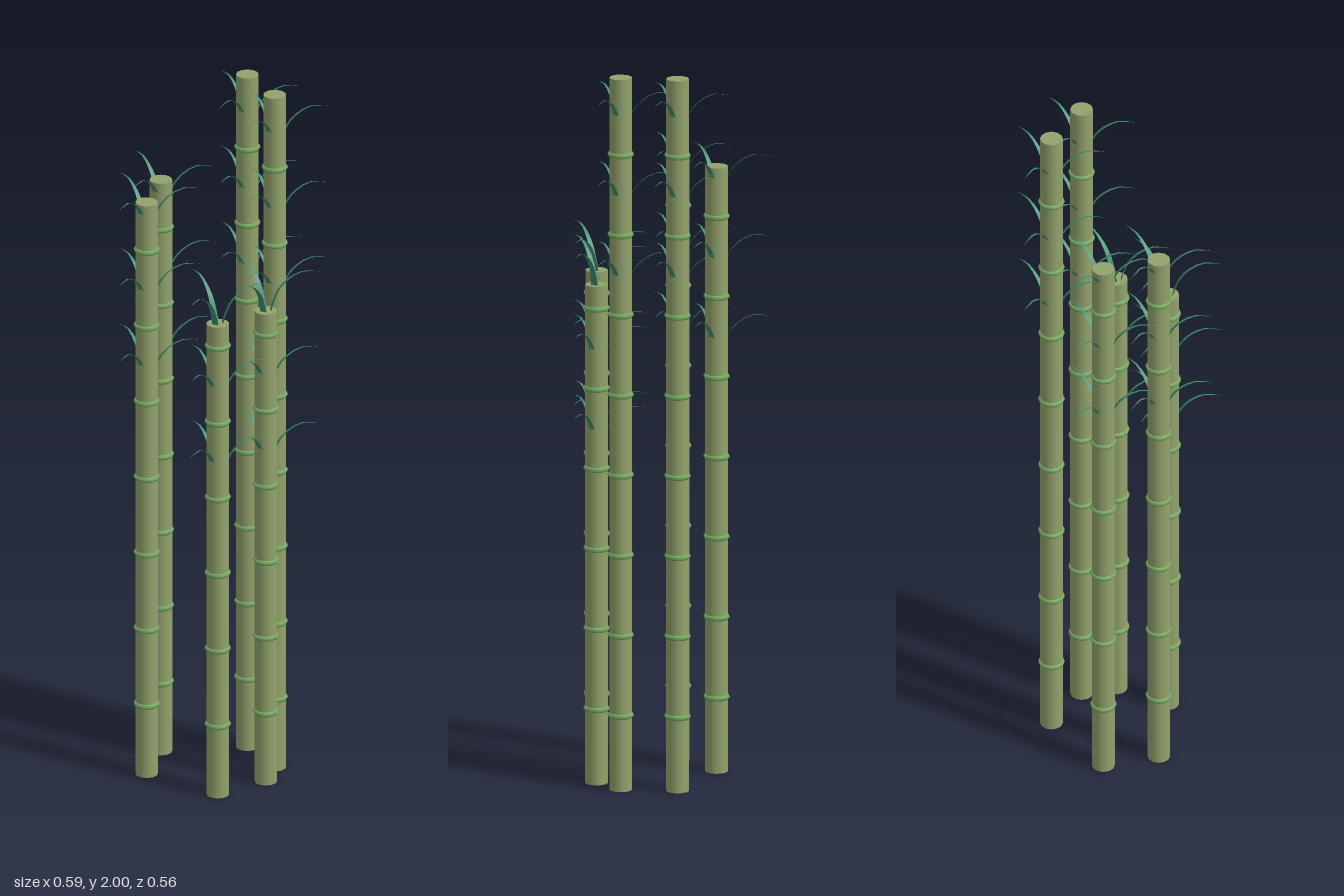
import * as THREE from 'three';

const stalkMat = new THREE.MeshStandardMaterial({ name: 'stalkGreen', color: 0x92a36c });
const ringMat = new THREE.MeshStandardMaterial({ name: 'ringGreen', color: 0x78ac62 });
const leafMat = new THREE.MeshStandardMaterial({ name: 'leafTeal', color: 0x3f8f72, side: THREE.DoubleSide });

const STEP = 0.225; // distance between nodes
const RADIUS = 0.031;

// Flat tapering blade that rises out of the stalk and arches outwards along +z
function leafGeometry() {
  const arc = new THREE.CatmullRomCurve3([
    [0.01, -0.06], [0.03, 0], [0.058, 0.036], [0.1, 0.059], [0.15, 0.055],
  ].map(([r, y]) => new THREE.Vector3(0, y, r)));
  const geo = new THREE.PlaneGeometry(1, 1, 2, 8);
  const pos = geo.attributes.position;
  for (let i = 0; i < pos.count; i++) {
    const t = pos.getY(i) + 0.5;
    const p = arc.getPoint(t);
    pos.setXYZ(i, pos.getX(i) * 0.021 * (1 - t), p.y, p.z);
  }
  geo.computeVertexNormals();
  return geo;
}

export function createModel() {
  const model = new THREE.Group();
  model.name = 'bambooClump';

  const leafGeo = leafGeometry();
  const ringGeo = new THREE.TorusGeometry(0.0285, 0.008, 6, 12).rotateX(Math.PI / 2);
  const leafAngles = [0, 129.5, 240].map(THREE.MathUtils.degToRad); // turn from +z towards +x

  function add(parent, name, geo, mat, y) {
    const mesh = new THREE.Mesh(geo, mat);
    mesh.name = name;
    mesh.position.y = y;
    parent.add(mesh);
    return mesh;
  }

  // x, z, height, height of the lowest leaf tier
  const stalks = [
    [0.021, -0.185, 2.0, 1.45],
    [0.154, -0.105, 2.0, 1.45],
    [0.181, -0.011, 1.4, 1.0],
    [0.112, 0.13, 1.4, 1.0],
    [-0.124, 0.109, 1.7, 1.225],
    [-0.167, -0.041, 1.7, 1.225],
  ];

  for (const [x, z, height, firstTier] of stalks) {
    const stalk = new THREE.Group();
    stalk.name = 'stalk';
    stalk.position.set(x, 0, z);

    add(stalk, 'cane', new THREE.CylinderGeometry(RADIUS, RADIUS, height, 12), stalkMat, height / 2);

    // Node rings
    for (let y = 0.21; y < height - 0.02; y += STEP) add(stalk, 'nodeRing', ringGeo, ringMat, y);

    // Three tiers of three leaves
    for (let tier = 0; tier < 3; tier++) {
      for (const angle of leafAngles) {
        add(stalk, 'leaf', leafGeo, leafMat, firstTier + tier * STEP).rotation.y = angle;
      }
    }
    model.add(stalk);
  }
  return model;
}
